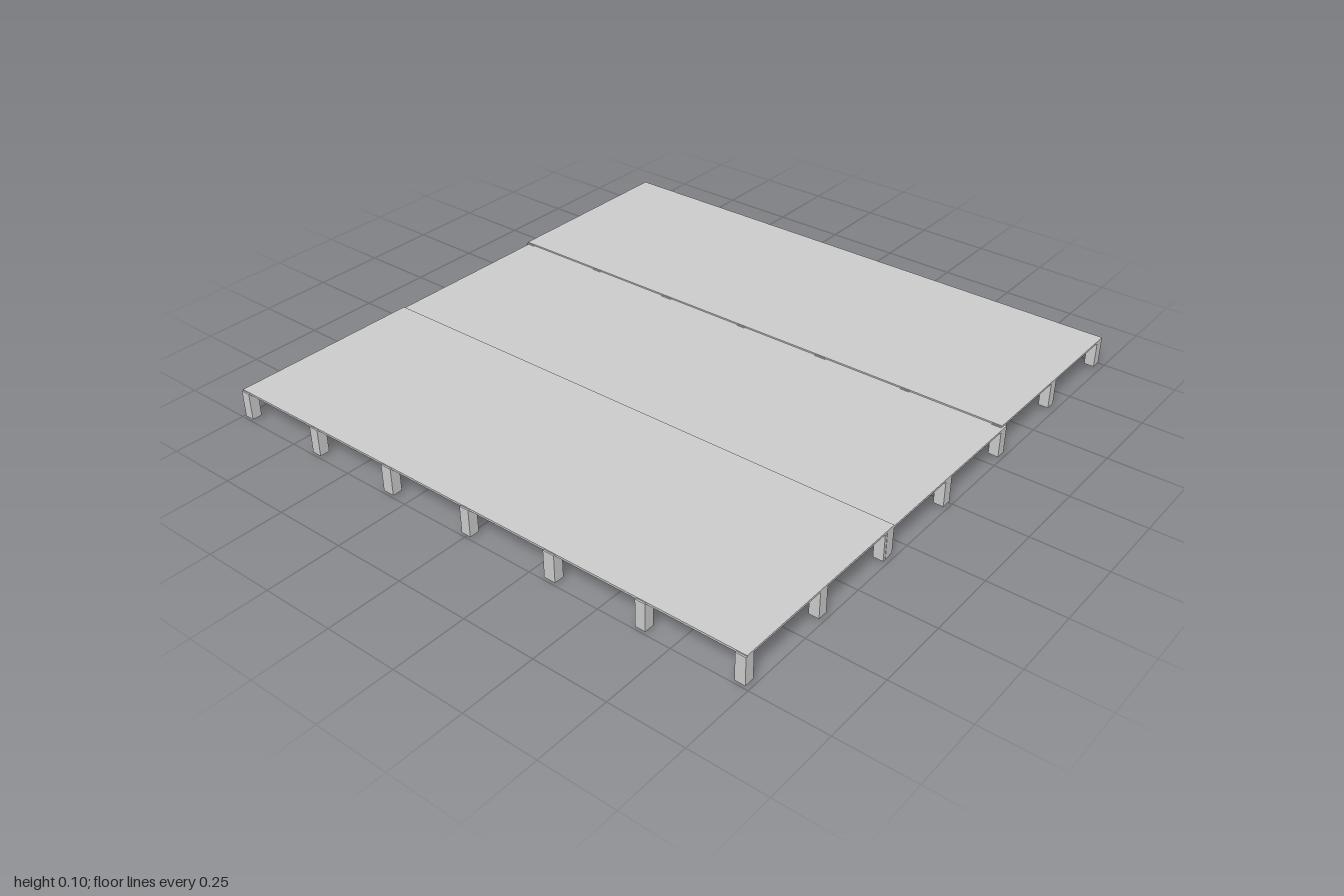
import * as THREE from 'three';

const SIZE = 0.685;   // footprint of one platform
const STEP = 0.645;   // spacing of platforms, so neighbouring legs nearly coincide
const HEIGHT = 0.097;
const THICK = 0.007;
const LEG = 0.034;

const material = new THREE.MeshStandardMaterial({ color: 0xcccccc, flatShading: true });

function box(name, w, h, d, x, y, z) {
  const mesh = new THREE.Mesh(new THREE.BoxGeometry(w, h, d), material);
  mesh.name = name;
  mesh.position.set(x, y, z);
  return mesh;
}

// One square platform: thin deck with legs at the corners and edge middles
function createPlatform() {
  const platform = new THREE.Group();
  platform.name = 'platform';
  // the deck stops just short of the front legs
  platform.add(box('deck', SIZE, THICK, SIZE - 0.005, 0, HEIGHT - THICK / 2, -0.0025));
  const reach = (SIZE - LEG) / 2;
  const legHeight = HEIGHT - THICK / 2;
  for (const i of [-1, 0, 1]) {
    for (const j of [-1, 0, 1]) {
      if (i === 0 && j === 0) continue;
      platform.add(box('leg', LEG, legHeight, LEG, i * reach, legHeight / 2, j * reach));
    }
  }
  return platform;
}

export function createModel() {
  const model = new THREE.Group();
  model.name = 'stage';
  // Rows are slightly out of line; the middle row sits a little lower
  const rows = [
    { name: 'backRow', x: -0.008, y: 0.005, z: -0.6525 },
    { name: 'middleRow', x: -0.001, y: 0, z: 0.011 },
    { name: 'frontRow', x: 0, y: 0.005, z: 0.6525 },
  ];
  for (const { name, x, y, z } of rows) {
    const row = new THREE.Group();
    row.name = name;
    row.position.set(x, y, z);
    for (const i of [-1, 0, 1]) {
      const platform = createPlatform();
      platform.position.x = i * STEP;
      row.add(platform);
    }
    model.add(row);
  }
  return model;
}
